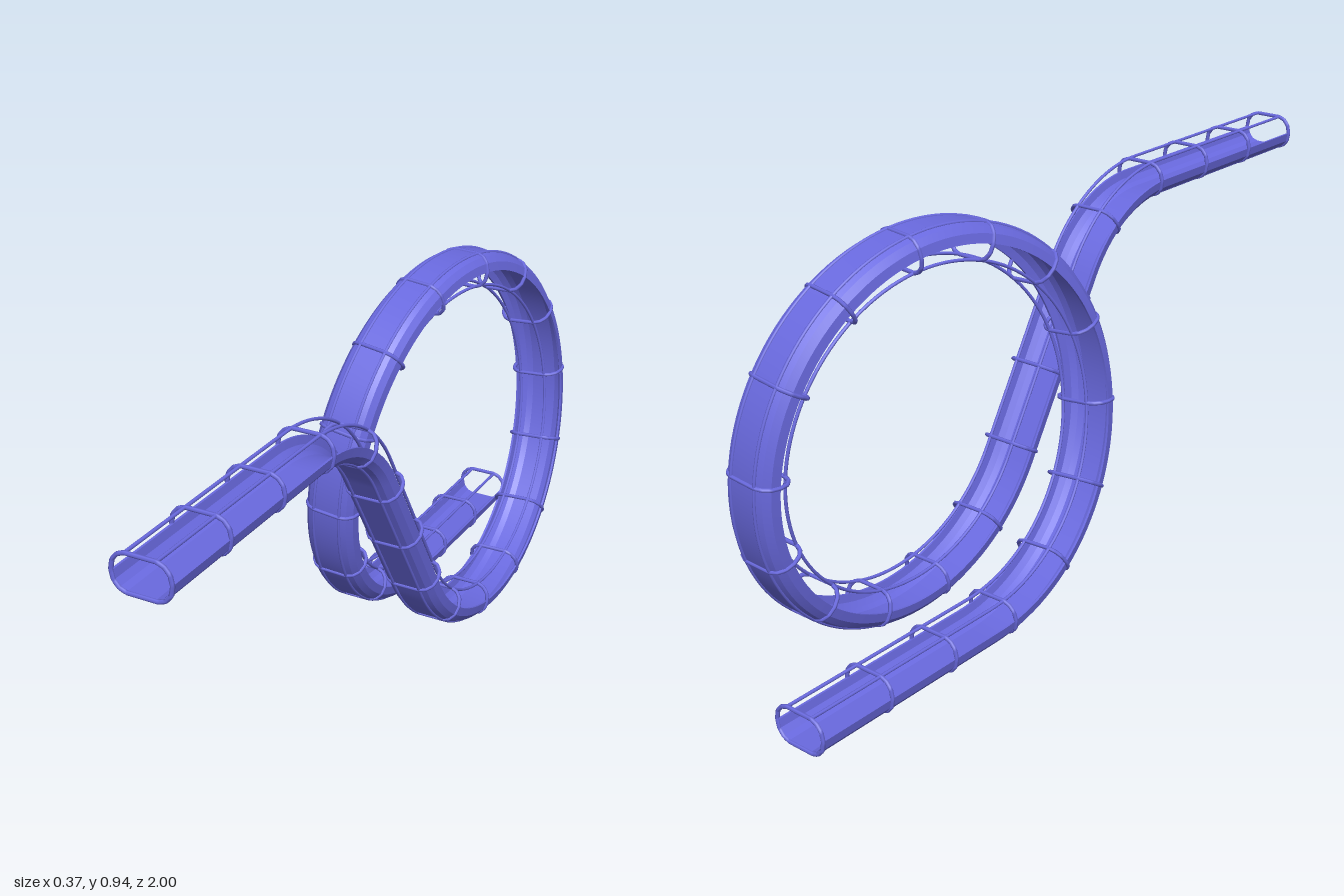
import * as THREE from 'three';

const V = (x, y, z) => new THREE.Vector3(x, y, z);
const X = 0.113, R = 0.348, r = 0.424;       // lane offset, drop radius, loop radius
const CY = 0.472, CZ1 = 0.44, CZ2 = -0.463;  // height and depth of the two arc centres
const END = 0.995;

// Centre line: high straight, S-shaped drop, one full loop shifting sideways, low straight
function centreLine() {
  const pts = [];
  const a = Math.asin((R + r) / (CZ1 - CZ2));
  for (let i = 0; i < 12; i++) pts.push(V(X, CY + R, END + (CZ1 - END) * i / 12));
  for (let i = 0; i <= 24; i++) {
    const t = a * i / 24;
    pts.push(V(X, CY + R * Math.cos(t), CZ1 - R * Math.sin(t)));
  }
  const from = pts[pts.length - 1];
  const to = V(X, CY - r * Math.cos(a), CZ2 + r * Math.sin(a));
  for (let i = 1; i < 8; i++) pts.push(from.clone().lerp(to, i / 8));
  for (let i = 0; i <= 140; i++) {
    const t = -a + (a + Math.PI * 2) * i / 140;
    const h = Math.max(t, 0) / 2;
    pts.push(V(X * Math.cos(h) + 0.015 * Math.sin(h) ** 2, CY - r * Math.cos(t), CZ2 - r * Math.sin(t)));
  }
  for (let i = 1; i <= 12; i++) pts.push(V(-X, CY - r, CZ2 + (-END - CZ2) * i / 12));
  return pts;
}

// Frame at each point: side across the track, up towards the inside of the loop
function makeFrames(pts) {
  let s = 0;
  return pts.map((p, i) => {
    if (i) s += p.distanceTo(pts[i - 1]);
    const t = pts[Math.min(i + 1, pts.length - 1)].clone().sub(pts[Math.max(i - 1, 0)]).normalize();
    const up = V(0, -t.z, t.y).normalize();
    const side = t.clone().cross(up).normalize();
    return { p, t, up, side, s };
  });
}

// Frame at distance s along the track
function frameAt(frames, s) {
  let i = 1;
  while (i < frames.length - 1 && frames[i].s < s) i++;
  const a = frames[i - 1], b = frames[i], k = (s - a.s) / (b.s - a.s);
  const mix = n => a[n].clone().lerp(b[n], k);
  return { p: mix('p'), t: mix('t').normalize(), up: mix('up').normalize(), side: mix('side').normalize() };
}

// Sweep a closed profile along the frames; faceted keeps the long edges sharp
function sweep(frames, profile, faceted) {
  const pos = [], idx = [];
  const n = profile.length;
  const row = faceted ? profile.flatMap((q, j) => [q, profile[(j + 1) % n]]) : profile;
  const w = row.length;
  for (const f of frames)
    for (const [u, v] of row)
      pos.push(...f.p.clone().addScaledVector(f.side, u).addScaledVector(f.up, v).toArray());
  for (let i = 0; i < frames.length - 1; i++)
    for (let j = 0; j < w; j += faceted ? 2 : 1) {
      const a = i * w + j, b = i * w + (j + 1) % w;
      idx.push(a, b, a + w, b, b + w, a + w);
    }
  const g = new THREE.BufferGeometry();
  g.setAttribute('position', new THREE.Float32BufferAttribute(pos, 3));
  g.setIndex(idx);
  g.computeVertexNormals();
  return g;
}

export function createModel() {
  const group = new THREE.Group();
  const mat = new THREE.MeshStandardMaterial({ color: 0x6a6ae0, side: THREE.DoubleSide });
  const frames = makeFrames(centreLine());
  const add = (geo, name) => {
    const m = new THREE.Mesh(geo, mat);
    m.name = name;
    group.add(m);
    return m;
  };

  // Half-open trough
  const half = [[0.066, 0], [0.062, -0.021], [0.05, -0.035], [0.034, -0.041]];
  const outer = [...half, ...half.map(([x, y]) => [-x, y]).reverse()];
  const inner = outer.map(([x, y]) => [x * 0.92, y * 0.87]).reverse();
  add(sweep(frames, [...outer, ...inner], true), 'trough');

  // Long rails: two under the trough, two over its open side
  for (const x of [-0.034, 0.034])
    for (const y of [-0.041, 0.041]) {
      const ring = [];
      for (let k = 0; k < 8; k++) {
        const t = k * Math.PI / 4;
        ring.push([x + 0.0038 * Math.cos(t), y + 0.0038 * Math.sin(t)]);
      }
      add(sweep(frames, ring, false), y < 0 ? 'lowerRail' : 'upperRail');
    }

  // Hoops at even spacing
  const loop = [...outer, ...half.slice(1).map(([x, y]) => [-x, -y]),
    ...half.slice(1).reverse().map(([x, y]) => [x, -y])];
  const path = new THREE.CurvePath();
  loop.forEach(([x, y], i) => {
    const [x2, y2] = loop[(i + 1) % loop.length];
    path.add(new THREE.LineCurve3(V(x, y, 0), V(x2, y2, 0)));
  });
  const hoopGeo = new THREE.TubeGeometry(path, 56, 0.0048, 6, true);
  const total = frames[frames.length - 1].s;
  const count = Math.round(total / 0.195);
  for (let i = 0; i <= count; i++) {
    const f = frameAt(frames, total * i / count);
    const hoop = add(hoopGeo, 'hoop');
    hoop.quaternion.setFromRotationMatrix(new THREE.Matrix4().makeBasis(f.side, f.side.clone().cross(f.t), f.t.clone().negate()));
    hoop.position.copy(f.p);
  }
  return group;
}
